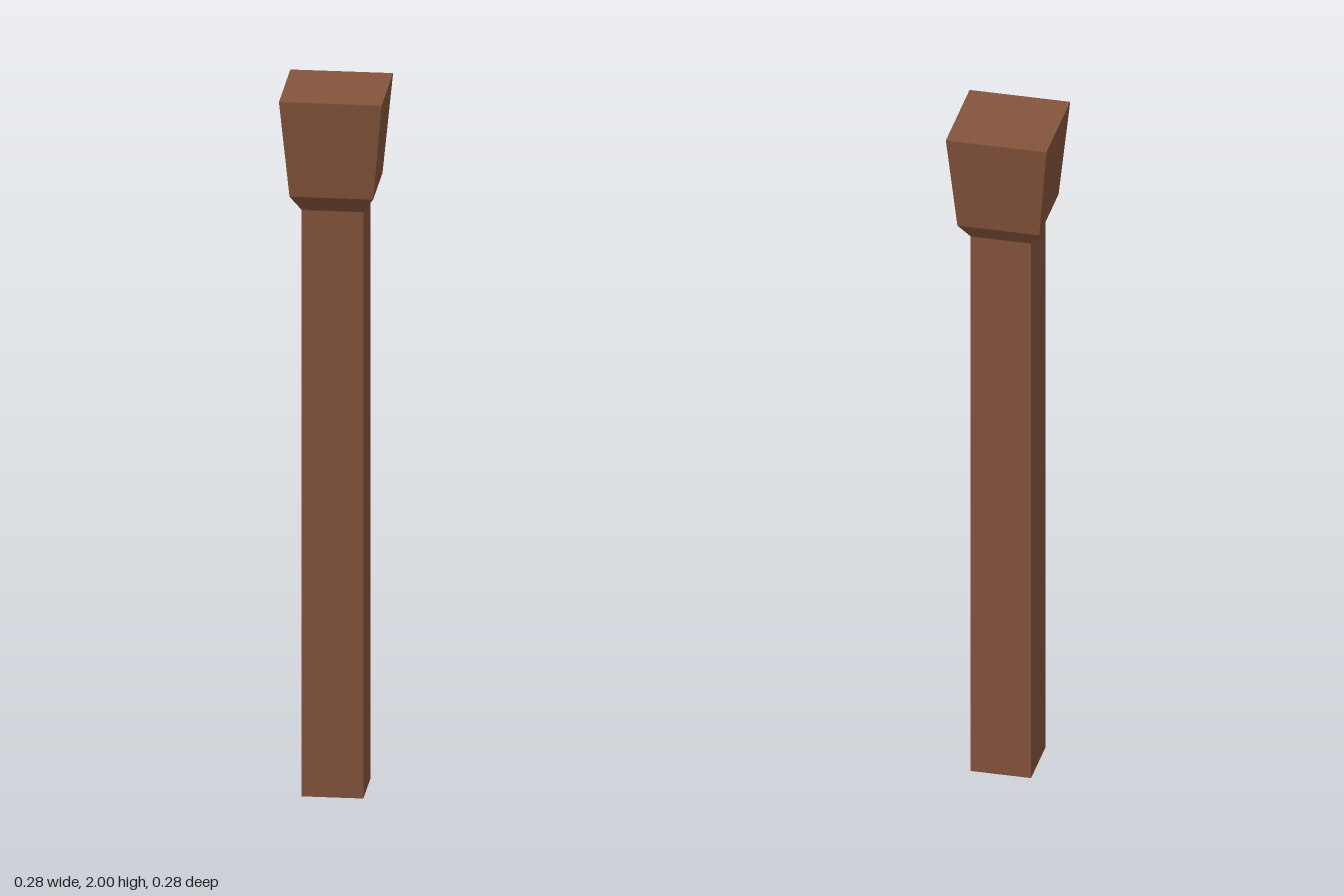
import * as THREE from 'three';

// Square section: four-sided lathe of [half width, y] points, listed bottom to top
function squareSection(name, profile, material) {
  const points = profile.map(([half, y]) => new THREE.Vector2(half * Math.SQRT2, y));
  const geometry = new THREE.LatheGeometry(points, 4, Math.PI / 4).toNonIndexed();
  geometry.computeVertexNormals(); // crisp flat faces
  const mesh = new THREE.Mesh(geometry, material);
  mesh.name = name;
  return mesh;
}

export function createModel() {
  const wood = new THREE.MeshStandardMaterial({ color: 0x85543c });
  wood.name = 'brown wood';

  const SHAFT = 0.084, HEAD_BASE = 0.114, HEAD_TOP = 0.14;
  const COLLAR_Y = 1.675, HEAD_Y = 1.722, TOP_Y = 2;

  const model = new THREE.Group();
  model.name = 'post';
  model.add(
    // Straight shaft, closed underneath
    squareSection('shaft', [[0, 0], [SHAFT, 0], [SHAFT, COLLAR_Y]], wood),
    // Short bevel flaring out to the head
    squareSection('collar', [[SHAFT, COLLAR_Y], [HEAD_BASE, HEAD_Y]], wood),
    // Flared head, closed on top
    squareSection('head', [[HEAD_BASE, HEAD_Y], [HEAD_TOP, TOP_Y], [0, TOP_Y]], wood),
  );
  return model;
}
